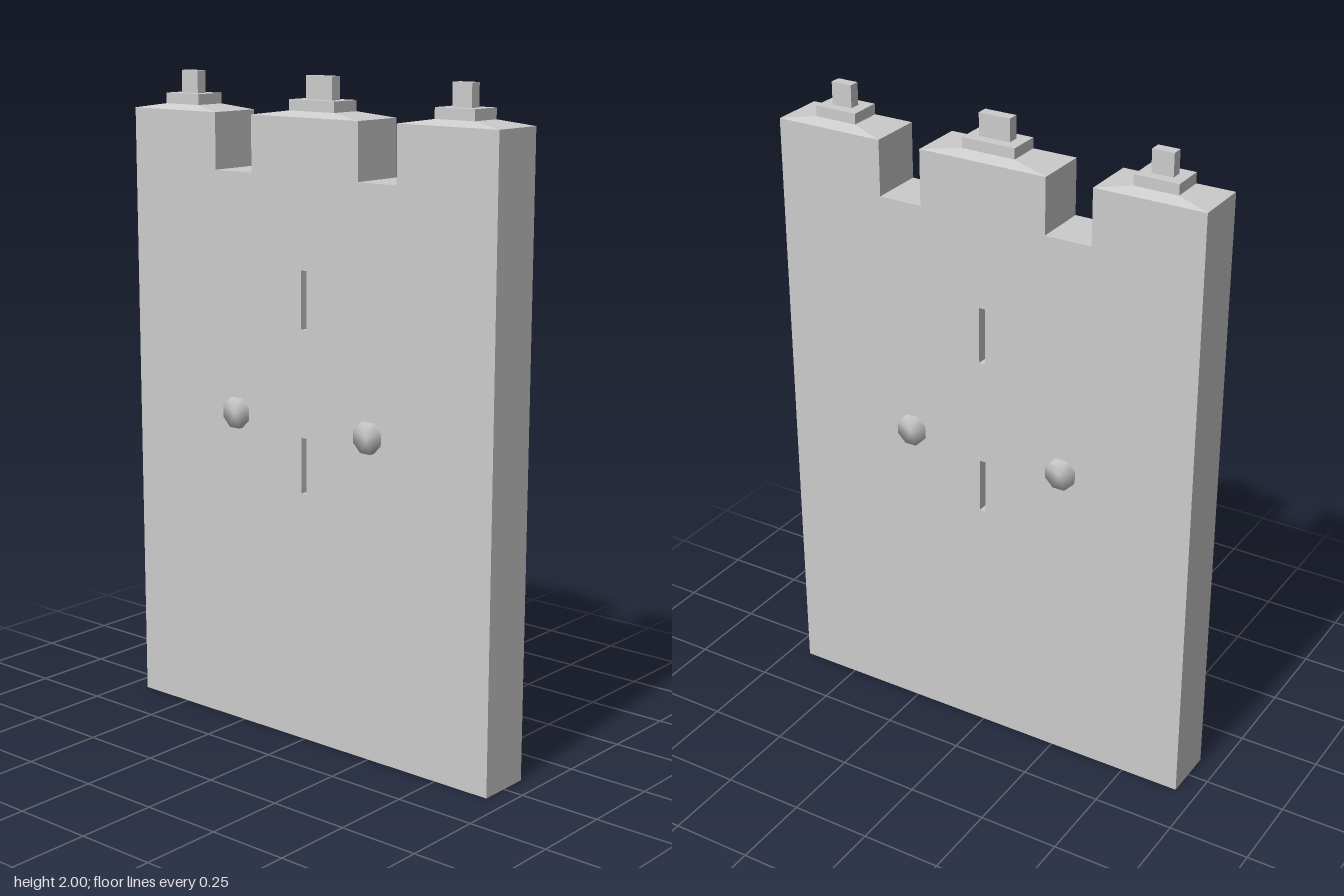
import * as THREE from 'three';
import { mergeVertices } from 'three/addons/utils/BufferGeometryUtils.js';

const material = new THREE.MeshStandardMaterial({ color: 0xcccccc });
const DEPTH = 0.17, SHOULDER = 1.885, NOTCH = 1.715, CAP = 1.9;

function add(group, name, geometry, x = 0, y = 0, z = 0) {
  const mesh = new THREE.Mesh(geometry, material);
  mesh.name = name;
  mesh.position.set(x, y, z);
  group.add(mesh);
}

// Box whose top face is narrowed to topWidth x topDepth and shifted sideways
function frustum(width, depth, height, topWidth, topDepth, shift) {
  const geometry = new THREE.BoxGeometry(width, height, depth);
  const p = geometry.attributes.position;
  for (let i = 0; i < p.count; i++) {
    if (p.getY(i) > 0) {
      p.setX(i, Math.sign(p.getX(i)) * topWidth / 2 + shift);
      p.setZ(i, Math.sign(p.getZ(i)) * topDepth / 2);
    }
  }
  geometry.computeVertexNormals();
  return geometry;
}

export function createModel() {
  const group = new THREE.Group();

  // Flat body with two top notches and two narrow slots
  const outline = new THREE.Shape([
    [-0.685, 0], [0.685, 0], [0.685, SHOULDER], [0.34, SHOULDER],
    [0.34, NOTCH], [0.203, NOTCH], [0.203, SHOULDER], [-0.203, SHOULDER],
    [-0.203, NOTCH], [-0.348, NOTCH], [-0.348, SHOULDER], [-0.685, SHOULDER],
  ].map(([x, y]) => new THREE.Vector2(x, y)));
  for (const [low, high] of [[0.775, 0.945], [1.27, 1.445]]) {
    outline.holes.push(new THREE.Path([
      [-0.01, low], [-0.01, high], [0.01, high], [0.01, low],
    ].map(([x, y]) => new THREE.Vector2(x, y))));
  }
  const body = new THREE.ExtrudeGeometry(outline, { depth: DEPTH, bevelEnabled: false });
  add(group, 'body', body, 0, 0, -DEPTH / 2);

  // Sloped cap, collar and tab on each of the three columns
  const columns = [
    { side: 'right', from: -0.685, to: -0.348, x: -0.517, collar: 0.135, tab: 0.066 },
    { side: 'middle', from: -0.203, to: 0.203, x: 0, collar: 0.17, tab: 0.1 },
    { side: 'left', from: 0.34, to: 0.685, x: 0.511, collar: 0.135, tab: 0.066 },
  ];
  for (const { side, from, to, x, collar, tab } of columns) {
    const centre = (from + to) / 2;
    add(group, side + 'Cap', frustum(to - from, DEPTH, CAP - SHOULDER, collar, 0.1, x - centre),
      centre, (CAP + SHOULDER) / 2);
    add(group, side + 'Collar', new THREE.BoxGeometry(collar, 0.04, 0.1), x, 1.912);
    add(group, side + 'Tab', new THREE.BoxGeometry(tab, 0.07, 0.034), x, 1.965);
  }

  // Eight-sided rivets passing through the body, softly shaded
  for (const [side, x] of [['right', -0.267], ['left', 0.246]]) {
    let rivet = new THREE.CylinderGeometry(0.049, 0.049, 0.2, 8);
    rivet.rotateX(Math.PI / 2).rotateZ(Math.PI / 8);
    rivet.deleteAttribute('normal');
    rivet.deleteAttribute('uv');
    rivet = mergeVertices(rivet);
    rivet.computeVertexNormals();
    add(group, side + 'Rivet', rivet, x, 0.985);
  }
  return group;
}
